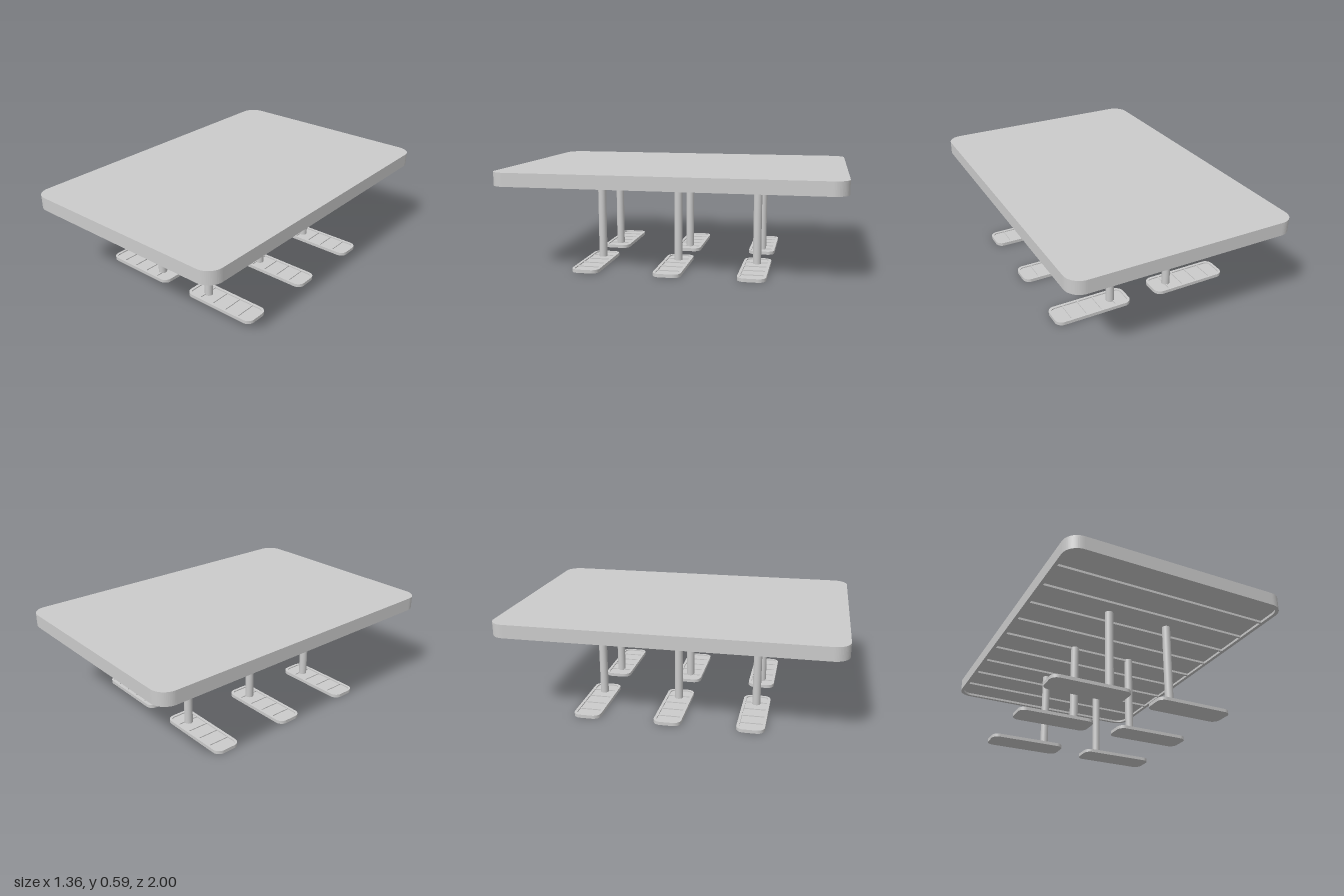
import * as THREE from 'three';

const material = new THREE.MeshStandardMaterial({ color: 0xcccccc });

// Rounded rectangle centred on the origin, as a Shape or a hole Path
function roundedRect(Type, width, depth, r) {
  const x = width / 2, y = depth / 2, p = new Type();
  p.moveTo(-x + r, -y);
  p.lineTo(x - r, -y);
  p.absarc(x - r, -y + r, r, -Math.PI / 2, 0);
  p.lineTo(x, y - r);
  p.absarc(x - r, y - r, r, 0, Math.PI / 2);
  p.lineTo(-x + r, y);
  p.absarc(-x + r, y - r, r, Math.PI / 2, Math.PI);
  p.lineTo(-x, -y + r);
  p.absarc(-x + r, -y + r, r, Math.PI, Math.PI * 1.5);
  return p;
}

function add(parent, name, geometry, x = 0, y = 0, z = 0) {
  const mesh = new THREE.Mesh(geometry, material);
  mesh.name = name;
  mesh.position.set(x, y, z);
  parent.add(mesh);
  return mesh;
}

// Horizontal rounded plate rising from y = 0; with a rim width it becomes a frame
function plate(width, depth, height, r, rim = 0) {
  const shape = roundedRect(THREE.Shape, width, depth, r);
  if (rim) shape.holes.push(roundedRect(THREE.Path, width - 2 * rim, depth - 2 * rim, r - rim));
  return new THREE.ExtrudeGeometry(shape, { depth: height, bevelEnabled: false, curveSegments: 8 })
    .rotateX(-Math.PI / 2);
}

export function createModel() {
  const model = new THREE.Group();
  model.name = 'table';

  // Table top: solid slab with a shallow ribbed recess underneath
  const top = new THREE.Group();
  top.name = 'tableTop';
  top.position.y = 0.51;
  model.add(top);
  const recess = 0.015;
  add(top, 'topSlab', plate(1.36, 2, 0.08 - recess, 0.09), 0, recess, 0);
  add(top, 'topRim', plate(1.36, 2, recess, 0.09, 0.022));
  for (let i = -4; i <= 4; i++) {
    add(top, 'undersideRib', new THREE.BoxGeometry(1.32, recess, 0.014), 0, recess / 2 + 0.001, i * 0.2);
  }

  // Two rows of three legs, each on a long foot reaching outwards
  for (const side of [-1, 1]) {
    for (const z of [-0.485, 0, 0.485]) {
      const support = new THREE.Group();
      support.name = side > 0 ? 'leftSupport' : 'rightSupport';
      support.position.z = z;
      model.add(support);

      add(support, 'leg', new THREE.CylinderGeometry(0.025, 0.025, 0.52, 24), side * 0.194, 0.27, 0);

      // Foot: flat tray with a raised rim and cross ribs
      const foot = new THREE.Group();
      foot.name = 'foot';
      foot.position.x = side * 0.327;
      support.add(foot);
      add(foot, 'footBase', plate(0.482, 0.164, 0.013, 0.045));
      add(foot, 'footRim', plate(0.482, 0.164, 0.007, 0.045, 0.016), 0, 0.013, 0);
      for (let i = 0; i < 4; i++) {
        add(foot, 'footRib', new THREE.BoxGeometry(0.008, 0.006, 0.134), (i - 1.5) * 0.096, 0.016, 0);
      }
    }
  }
  return model;
}
